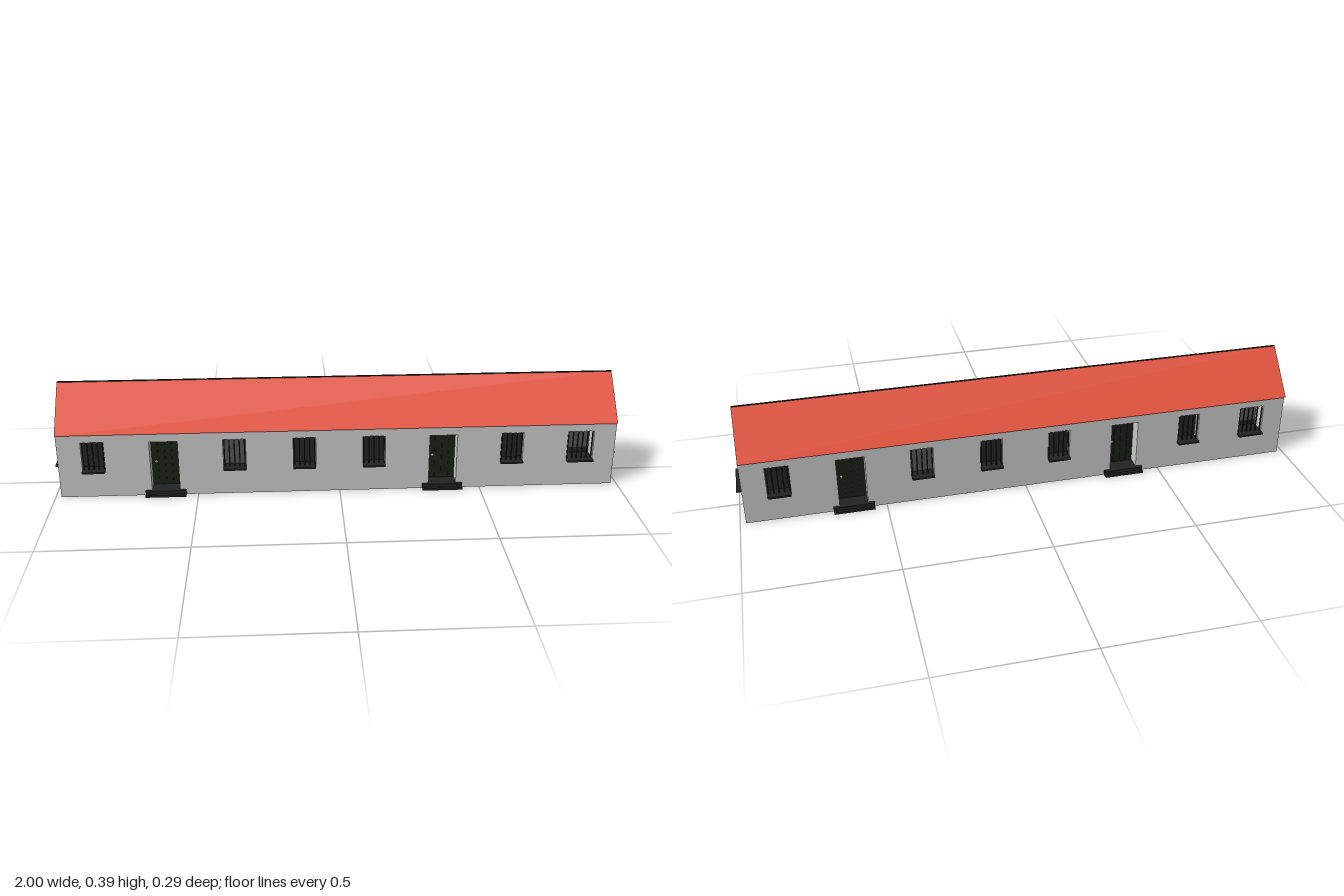
import * as THREE from 'three';

const mat = (color, side = THREE.FrontSide) => new THREE.MeshStandardMaterial({ color, side, flatShading: true });
const WALL = mat(0xcccccc, THREE.DoubleSide), ROOF = mat(0xe8543f, THREE.DoubleSide);
const DARK = mat(0x222222), PANE = mat(0x242424, THREE.DoubleSide), PALE = mat(0x555555, THREE.DoubleSide);
const DOOR = mat(0x1a2016), METAL = mat(0xbbbbaa);

const LEN = 1.96, HALF_W = 0.122, EAVE = 0.238, RIDGE = 0.387, OVER = 0.133;
const LOW = 0.1, HEAD = 0.207, DOOR_HEAD = 0.204, DEPTH = 0.055;

function add(parent, name, geometry, material, x = 0, y = 0, z = 0) {
  const mesh = new THREE.Mesh(geometry, material);
  mesh.name = name;
  mesh.position.set(x, y, z);
  parent.add(mesh);
  return mesh;
}
const box = (parent, name, material, w, h, d, x, y, z) =>
  add(parent, name, new THREE.BoxGeometry(w, h, d), material, x, y, z);

// Rectangular hole path
function hole(x, y0, y1, w) {
  const p = new THREE.Path();
  p.moveTo(x - w / 2, y0);
  p.lineTo(x - w / 2, y1);
  p.lineTo(x + w / 2, y1);
  p.lineTo(x + w / 2, y0);
  p.closePath();
  return p;
}

// Jambs, head and bottom of an opening, running back from z = 0
function reveal(parent, x, y0, y1, w) {
  const g = new THREE.CylinderGeometry(Math.SQRT1_2, Math.SQRT1_2, 1, 4, 1, true, Math.PI / 4);
  g.rotateX(Math.PI / 2).scale(w, y1 - y0, DEPTH);
  add(parent, 'reveal', g, WALL, x, (y0 + y1) / 2, -DEPTH / 2);
}

// Barred window: sill through the wall, dark pane up to split, paler pane above
function barredWindow(parent, x, w, bars, split, paneZ) {
  const g = new THREE.Group();
  g.name = 'window';
  const h = HEAD - LOW;
  reveal(g, x, LOW, HEAD, w);
  box(g, 'sill', DARK, w, 0.006, DEPTH + 0.02, x, LOW - 0.001, (0.02 - DEPTH) / 2);
  for (let i = 0; i < bars; i++)
    box(g, 'bar', DARK, 0.004, h, 0.004, x - w / 2 + 0.004 + (i / (bars - 1)) * (w - 0.008), LOW + h / 2, -0.006);
  for (const [name, material, y0, y1] of [['lowerPane', PANE, LOW, split], ['upperPane', PALE, split, HEAD]])
    if (y1 > y0) add(g, name, new THREE.PlaneGeometry(w, y1 - y0), material, x, (y0 + y1) / 2, paneZ);
  parent.add(g);
}

// Recessed boarded door with two steps
function door(parent, x, w) {
  const g = new THREE.Group();
  g.name = 'door';
  reveal(g, x, 0.001, DOOR_HEAD, w);
  const boards = 4, h = DOOR_HEAD - 0.02, mid = (DOOR_HEAD + 0.02) / 2;
  for (let i = 0; i < boards; i++)
    box(g, 'doorBoard', DOOR, w / boards - 0.003, h, 0.008, x + ((i + 0.5) / boards - 0.5) * w, mid, -DEPTH + 0.006);
  box(g, 'doorBacking', DARK, w, h, 0.006, x, mid, -DEPTH + 0.003);
  add(g, 'handle', new THREE.SphereGeometry(0.005, 10, 8), METAL, x - w * 0.33, 0.11, -DEPTH + 0.014);
  box(g, 'lowerStep', DARK, 0.142, 0.008, DEPTH + 0.022, x, 0.004, (0.022 - DEPTH) / 2);
  box(g, 'upperStep', DARK, 0.142, 0.012, 0.012, x, 0.014, 0.006);
  box(g, 'threshold', DARK, w, 0.012, DEPTH, x, 0.014, -DEPTH / 2);
  parent.add(g);
}

// Long wall with six windows and two doors, outer face at z = 0
function longWall() {
  const g = new THREE.Group();
  g.name = 'longWall';
  const s = new THREE.Shape();
  const doors = [1, 5], doorW = 0.098;
  // Where the dark pane stops in the windows that are partly open
  const splits = { 2: LOW, 7: 0.122 };
  s.moveTo(-LEN / 2, 0);
  for (let i = 0; i < 8; i++) {
    const x = -0.858 + i * 0.2448;
    if (doors.includes(i)) {
      s.lineTo(x - doorW / 2, 0);
      s.lineTo(x - doorW / 2, DOOR_HEAD);
      s.lineTo(x + doorW / 2, DOOR_HEAD);
      s.lineTo(x + doorW / 2, 0);
      door(g, x, doorW);
    } else {
      const w = i === 7 ? 0.094 : 0.079;
      s.holes.push(hole(x, LOW, HEAD, w));
      barredWindow(g, x, w, i === 7 ? 6 : 5, splits[i] ?? HEAD, i === 7 ? -DEPTH : -0.03);
    }
  }
  s.lineTo(LEN / 2, 0);
  s.lineTo(LEN / 2, EAVE);
  s.lineTo(-LEN / 2, EAVE);
  add(g, 'wallFace', new THREE.ShapeGeometry(s), WALL);
  return g;
}

// Gable wall with one wide window, outer face at z = 0
function gableWall() {
  const g = new THREE.Group();
  g.name = 'gableWall';
  const pts = [[-HALF_W, 0], [HALF_W, 0], [HALF_W, EAVE], [OVER, EAVE], [0, RIDGE], [-OVER, EAVE], [-HALF_W, EAVE]];
  const s = new THREE.Shape(pts.map(p => new THREE.Vector2(...p)));
  s.holes.push(hole(0, LOW, HEAD, 0.148));
  add(g, 'gableFace', new THREE.ShapeGeometry(s), WALL);
  barredWindow(g, 0, 0.148, 10, 0.185, -DEPTH);
  return g;
}

// One roof slope, overhanging the long wall
function roofSlope() {
  const rise = RIDGE - EAVE;
  const slope = new THREE.Mesh(new THREE.PlaneGeometry(LEN, Math.hypot(rise, OVER)), ROOF);
  slope.name = 'roofSlope';
  slope.position.set(0, (EAVE + RIDGE) / 2, OVER / 2);
  slope.rotation.x = -Math.atan2(OVER, rise);
  return slope;
}

export function createModel() {
  const model = new THREE.Group();
  model.name = 'longHouse';
  // The two halves repeat by a half turn
  for (let k = 0; k < 2; k++) {
    const half = new THREE.Group();
    half.name = k ? 'backHalf' : 'frontHalf';
    const wall = longWall();
    wall.position.z = HALF_W;
    const gable = gableWall();
    gable.position.x = LEN / 2;
    gable.rotation.y = Math.PI / 2;
    half.add(wall, gable, roofSlope());
    half.rotation.y = k * Math.PI;
    model.add(half);
  }
  box(model, 'ridgeCap', DARK, LEN, 0.004, 0.003, 0, RIDGE, 0);
  return model;
}
